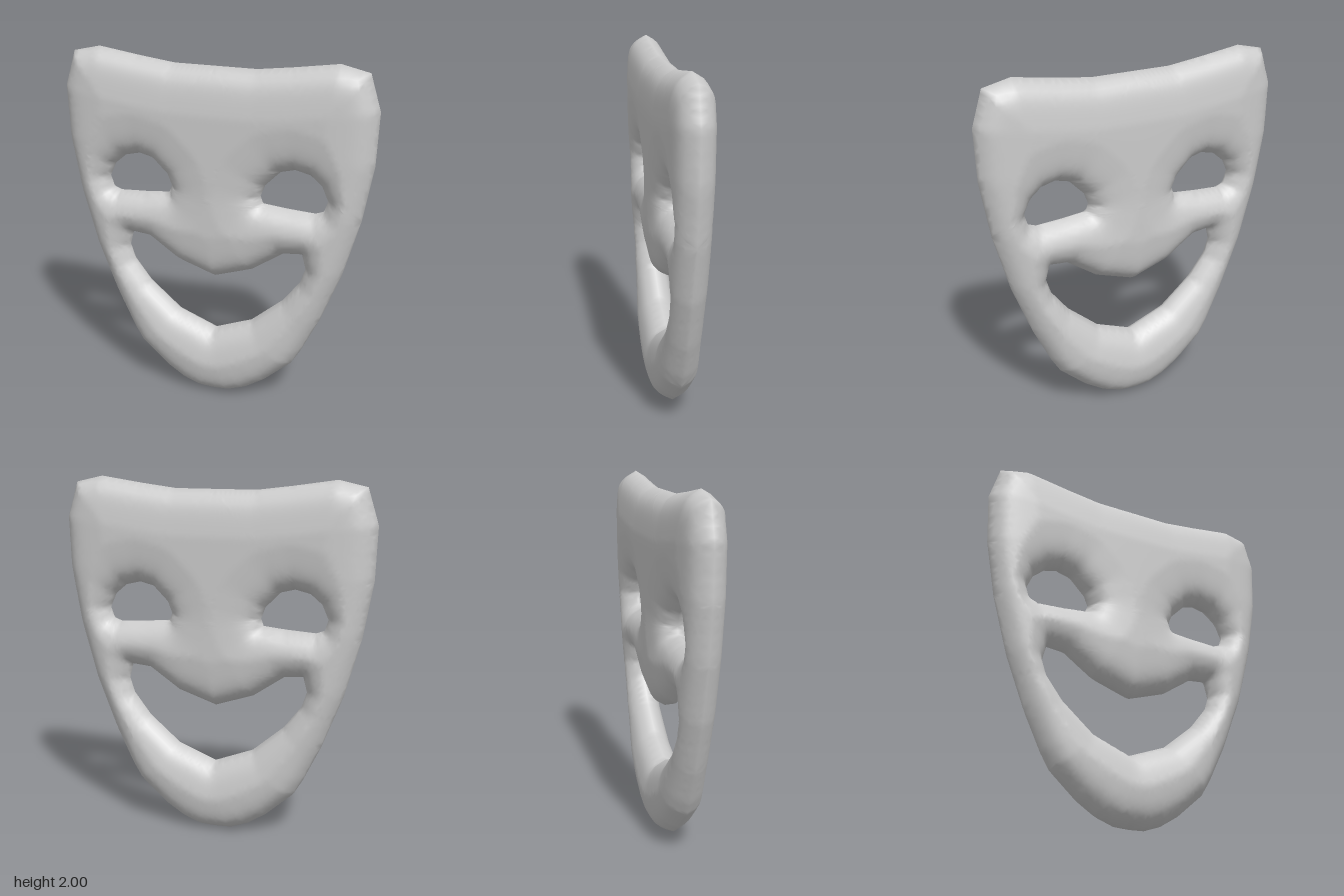
import * as THREE from 'three';

const V = (x, y) => new THREE.Vector2(x, y);

// Right half of the outline, top centre to chin
const HALF_FACE = [[0, 1.94], [0.23, 1.94], [0.43, 1.965], [0.67, 2], [0.825, 1.965], [0.885, 1.77],
  [0.874, 1.48], [0.82, 1.17], [0.73, 0.845], [0.615, 0.55], [0.513, 0.34], [0.458, 0.25],
  [0.3, 0.11], [0.19, 0.04], [0.09, 0.004], [0, 0]];
// Half of the smile, upper lip centre to lower lip centre
const HALF_MOUTH = [[0, 0.733], [0.22, 0.806], [0.395, 0.925], [0.503, 0.935], [0.525, 0.85],
  [0.497, 0.765], [0.4, 0.64], [0.22, 0.488], [0, 0.403]];
const EYE = [[0.635, 1.26], [0.6, 1.34], [0.535, 1.395], [0.45, 1.415], [0.37, 1.395], [0.285, 1.31],
  [0.26, 1.245], [0.275, 1.205], [0.41, 1.192], [0.57, 1.183], [0.615, 1.2]];

const flip = (pts) => pts.map(([x, y]) => [-x, y]);
const closeHalf = (half) => [...half, ...flip(half).slice(1, -1).reverse()];

function loop(pts, clockwise) {
  const out = pts.map(([x, y]) => V(x, y));
  return THREE.ShapeUtils.isClockWise(out) === clockwise ? out : out.reverse();
}

// Distance from a point to the nearest edge of any loop
function edgeDistance(p, loops) {
  let best = Infinity;
  for (const l of loops) {
    l.forEach((a, i) => {
      const b = l[(i + 1) % l.length];
      const dx = b.x - a.x, dy = b.y - a.y;
      const t = THREE.MathUtils.clamp(((p.x - a.x) * dx + (p.y - a.y) * dy) / (dx * dx + dy * dy), 0, 1);
      best = Math.min(best, Math.hypot(p.x - a.x - t * dx, p.y - a.y - t * dy));
    });
  }
  return best;
}

// Half thickness: steep at the rims, then nearly flat, fuller at the chin
function halfThickness(d, y) {
  const z = 0.09 * (1 - Math.exp(-d / 0.04)) + 0.03 * Math.min(1, d / 0.25);
  return z * (1 + 0.13 * (1 - THREE.MathUtils.smoothstep(y, 0.2, 0.6)));
}

// Flat triangulation refined by halving long edges
function refinedSheet(outline, holes, maxEdge) {
  const points = [outline, ...holes].flat().map((p) => p.clone());
  const faces = [];
  const mids = new Map();
  const midpoint = (a, b) => {
    const key = a < b ? `${a},${b}` : `${b},${a}`;
    if (!mids.has(key)) {
      mids.set(key, points.length);
      points.push(points[a].clone().add(points[b]).multiplyScalar(0.5));
    }
    return mids.get(key);
  };
  const split = (tri) => {
    const len = tri.map((a, i) => points[a].distanceTo(points[tri[(i + 1) % 3]]));
    const k = len.indexOf(Math.max(...len));
    if (len[k] <= maxEdge) {
      faces.push(tri);
      return;
    }
    const a = tri[k], b = tri[(k + 1) % 3], c = tri[(k + 2) % 3];
    const m = midpoint(a, b);
    split([a, m, c]);
    split([m, b, c]);
  };
  THREE.ShapeUtils.triangulateShape(outline, holes).forEach(split);
  return { points, faces };
}

function maskGeometry() {
  const outline = loop(closeHalf(HALF_FACE), false);
  const holes = [closeHalf(HALF_MOUTH), EYE, flip(EYE)].map((h) => loop(h, true));
  const loops = [outline, ...holes];
  const { points, faces } = refinedSheet(outline, holes, 0.04);
  const onRim = points.map((p) => edgeDistance(p, loops) < 1e-5);

  // Even out the inner points
  const near = points.map(() => new Set());
  for (const f of faces) for (const a of f) for (const b of f) if (a !== b) near[a].add(b);
  for (let pass = 0; pass < 4; pass++) {
    points.forEach((p, i) => {
      if (onRim[i]) return;
      const mean = V(0, 0);
      near[i].forEach((j) => mean.add(points[j]));
      p.lerp(mean.divideScalar(near[i].size), 0.6);
    });
  }

  // Front and back sheets share the rim points
  const pos = [];
  const depth = points.map((p, i) => (onRim[i] ? 0 : halfThickness(edgeDistance(p, loops), p.y)));
  points.forEach((p, i) => pos.push(p.x, p.y, depth[i]));
  const back = points.map((p, i) => {
    if (onRim[i]) return i;
    pos.push(p.x, p.y, -depth[i]);
    return pos.length / 3 - 1;
  });
  const index = [];
  for (const [a, b, c] of faces) index.push(a, b, c, back[a], back[c], back[b]);

  const geo = new THREE.BufferGeometry();
  geo.setAttribute('position', new THREE.Float32BufferAttribute(pos, 3));
  geo.setIndex(index);
  geo.computeVertexNormals();
  return geo;
}

export function createModel() {
  const group = new THREE.Group();
  group.name = 'smilingMask';
  const mask = new THREE.Mesh(maskGeometry(), new THREE.MeshStandardMaterial({ color: 0xcccccc }));
  mask.name = 'maskFace';
  group.add(mask);
  return group;
}
